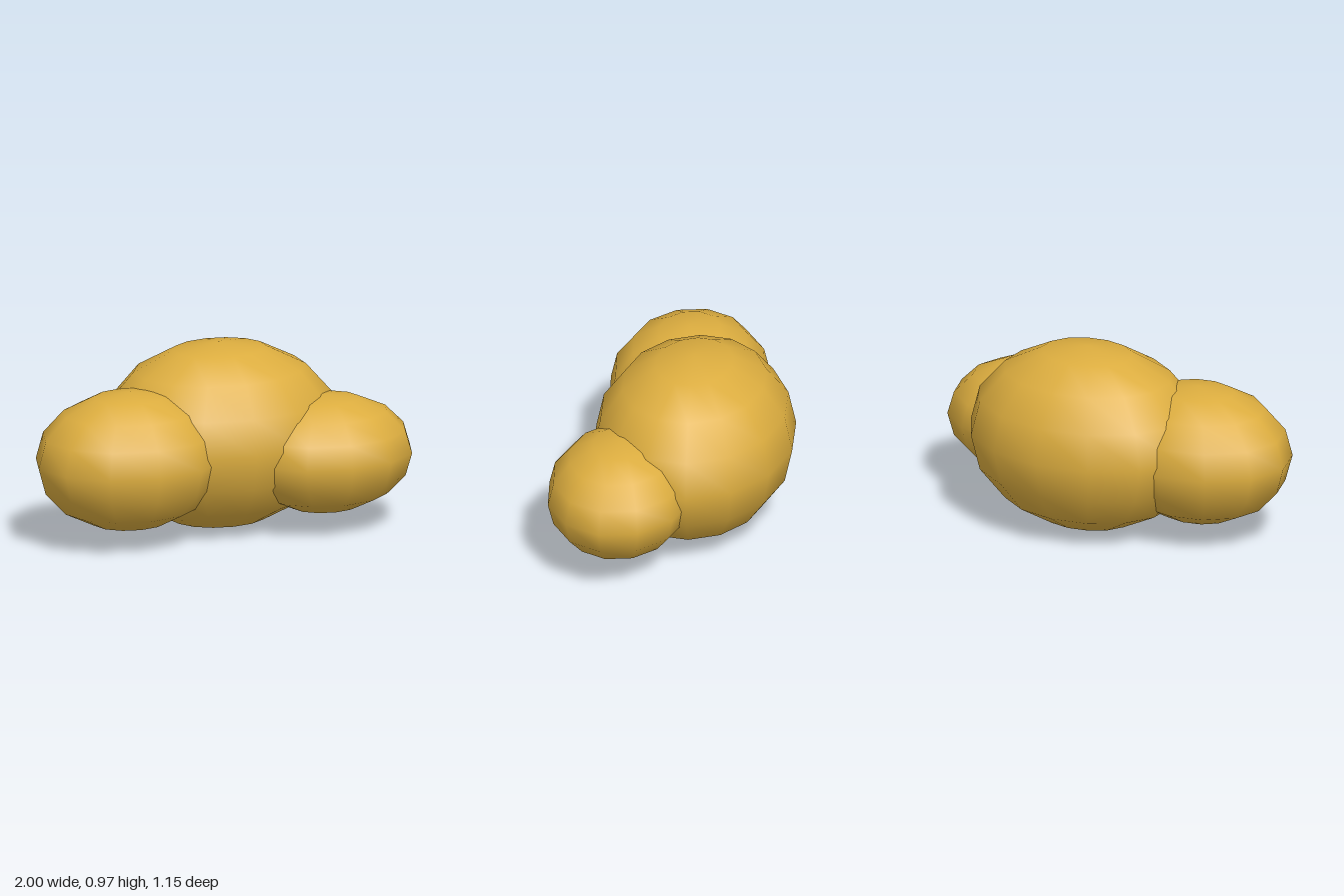
import * as THREE from 'three';

export function createModel() {
  const group = new THREE.Group();
  const gold = new THREE.MeshStandardMaterial({ color: 0xdcad3f });
  gold.name = 'gold';

  // One smooth low-sided ellipsoid, with a column of vertices facing front and back
  function lobe(name, segments, [rx, ry, rz], [x, y, z]) {
    const geometry = new THREE.SphereGeometry(1, segments, 8);
    geometry.rotateY(Math.PI / 2);
    geometry.scale(rx, ry, rz);
    const mesh = new THREE.Mesh(geometry, gold);
    mesh.name = name;
    mesh.position.set(x, y, z);
    group.add(mesh);
  }

  // Large middle lump with a smaller lump at each side
  lobe('middleLump', 14, [0.64, 0.484, 0.515], [0.06, 0.486, -0.062]);
  lobe('rightLump', 12, [0.502, 0.36, 0.414], [-0.498, 0.445, 0.106]);
  lobe('leftLump', 12, [0.462, 0.306, 0.377], [0.536, 0.402, 0.2]);

  return group;
}
